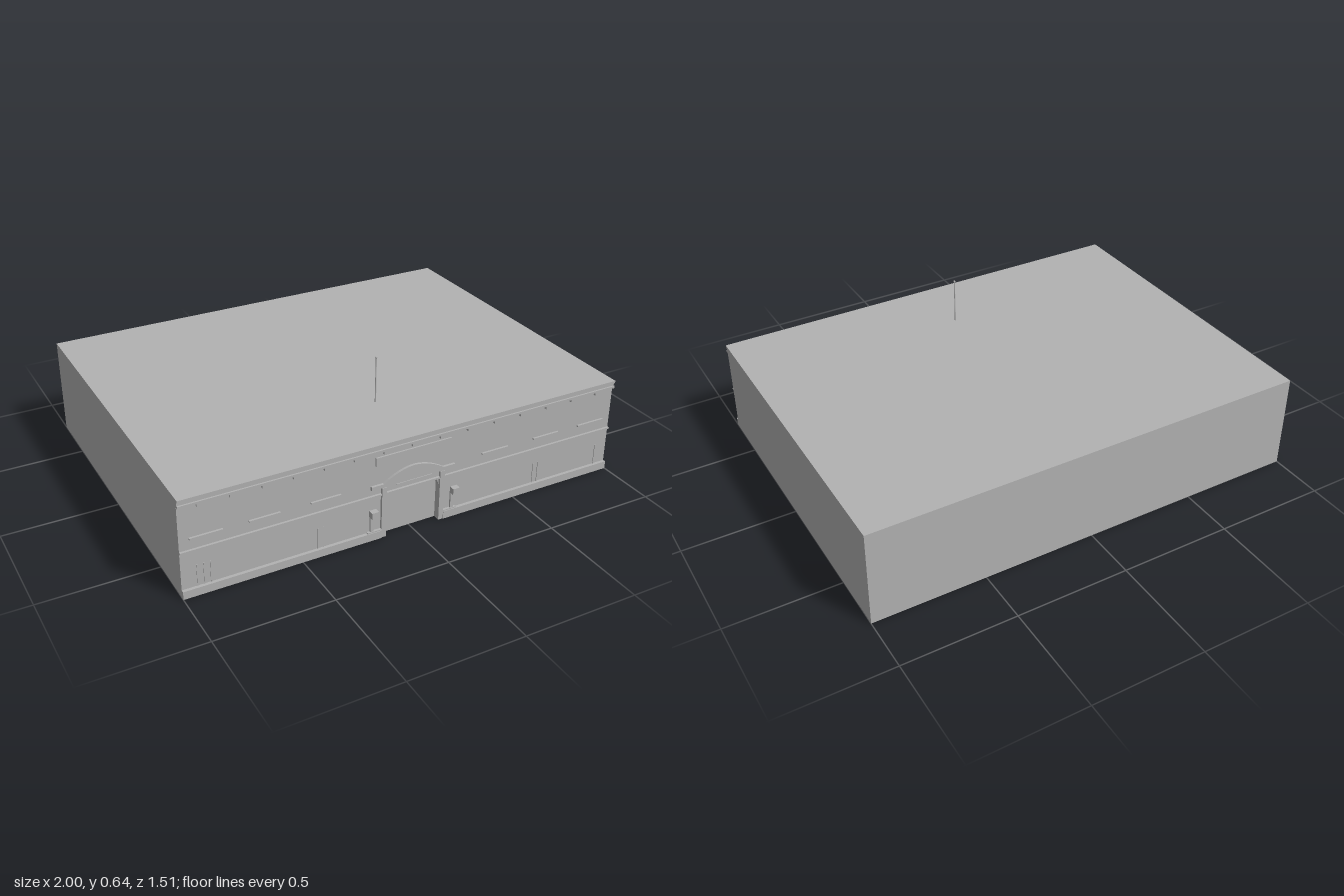
import * as THREE from 'three';

export function createModel() {
  const root = new THREE.Group();
  root.name = 'building';
  const grey = new THREE.MeshStandardMaterial({ color: 0xb2b2b2, side: THREE.DoubleSide });
  grey.name = 'plain grey';

  const H = 0.435, BACK = -0.757, WALL = 0.72, TRIM = 0.734, DOOR = 0.7;

  const add = (name, geometry, x = 0, y = 0, z = 0) => {
    const mesh = new THREE.Mesh(geometry, grey);
    mesh.name = name;
    mesh.position.set(x, y, z);
    root.add(mesh);
    return mesh;
  };
  // Box given by its limits on each axis
  const block = (name, x0, x1, y0, y1, z0, z1) =>
    add(name, new THREE.BoxGeometry(x1 - x0, y1 - y0, z1 - z0), (x0 + x1) / 2, (y0 + y1) / 2, (z0 + z1) / 2);

  // Hollow shell, open underneath
  const depth = WALL - BACK, mid = (WALL + BACK) / 2;
  add('roof', new THREE.PlaneGeometry(2, depth).rotateX(-Math.PI / 2), 0, H, mid);
  add('backWall', new THREE.PlaneGeometry(2, H).rotateY(Math.PI), 0, H / 2, BACK);
  for (const s of [-1, 1]) {
    add('sideWall', new THREE.PlaneGeometry(depth, H).rotateY(s * Math.PI / 2), s, H / 2, mid);
  }

  // Front wall with the doorway cut out
  const doorway = [[0.125, 0], [0.125, 0.165], [0.115, 0.198], [-0.115, 0.198], [-0.125, 0.165], [-0.125, 0]];
  const front = new THREE.Shape(
    [[1, 0], [1, H], [-1, H], [-1, 0], ...[...doorway].reverse()].map(p => new THREE.Vector2(...p)));
  add('frontWall', new THREE.ShapeGeometry(front), 0, 0, WALL);

  // Recessed door and its reveal
  const doorShape = new THREE.Shape(doorway.map(p => new THREE.Vector2(...p)));
  add('door', new THREE.ShapeGeometry(doorShape), 0, 0, DOOR);
  const reveal = new THREE.BufferGeometry();
  const positions = [], index = [];
  doorway.forEach(([x, y], i) => {
    positions.push(x, y, DOOR, x, y, WALL);
    if (i) {
      const a = 2 * i - 2;
      index.push(a, a + 1, a + 3, a, a + 3, a + 2);
    }
  });
  reveal.setAttribute('position', new THREE.Float32BufferAttribute(positions, 3));
  reveal.setIndex(index);
  const revealFlat = reveal.toNonIndexed();
  revealFlat.computeVertexNormals();
  add('doorReveal', revealFlat);

  // Cornice bands and the small blocks under them
  block('topCornice', -1, 1, 0.424, H, WALL, TRIM);
  block('corniceRecess', -1, 1, 0.41, 0.424, WALL, 0.727);
  block('lowerCornice', -1, 1, 0.4, 0.41, WALL, TRIM);
  for (let i = -7; i <= 7; i++) {
    block('corniceBlock', i * 0.1303 - 0.0125, i * 0.1303 + 0.0125, 0.387, 0.4, WALL, 0.732);
  }

  // Sign board above the entrance
  block('signBoard', -0.175, 0.175, 0.338, 0.375, WALL, 0.727);

  for (const s of [-1, 1]) {
    const side = (name, a, b, ...rest) => block(name, Math.min(s * a, s * b), Math.max(s * a, s * b), ...rest);
    side('beltCourse', 0.147, 1, 0.198, 0.206, WALL, 0.73);
    side('plinth', 0.147, 1, 0, 0.035, WALL, TRIM);
    side('plinthStep', 0.147, 0.21, 0.035, 0.04, WALL, 0.731);
    side('doorPilaster', 0.125, 0.147, 0, 0.232, WALL, 0.731);
    // Narrow ledges in the upper wall
    for (const [a, b] of [[0.33, 0.46], [0.59, 0.72], [0.825, 0.96]]) {
      side('upperLedge', a, b, 0.251, 0.258, WALL, 0.729);
    }
    // Wall lamps beside the door
    side('lampPost', 0.183, 0.197, 0.04, 0.12, WALL, 0.728);
    side('lampArm', 0.186, 0.194, 0.128, 0.136, WALL, 0.737);
    side('lampHead', 0.175, 0.206, 0.119, 0.147, 0.732, 0.757);
  }

  // Thin upright strips on the lower wall
  for (const x of [-0.935, -0.907, -0.88, -0.43, -0.405, 0.605, 0.63, 0.94]) {
    block('wallStrip', x - 0.002, x + 0.002, 0.035, 0.13, WALL, 0.723);
  }

  // Curved pediment over the door
  const pediment = new THREE.Shape();
  pediment.moveTo(-0.195, 0.234);
  pediment.lineTo(0.195, 0.234);
  pediment.lineTo(0.195, 0.25);
  pediment.lineTo(0.14, 0.25);
  pediment.quadraticCurveTo(0.07, 0.297, 0, 0.3);
  pediment.quadraticCurveTo(-0.07, 0.297, -0.14, 0.25);
  pediment.lineTo(-0.195, 0.25);
  add('pediment', new THREE.ExtrudeGeometry(pediment, { depth: 0.011, bevelEnabled: false, curveSegments: 6 }), 0, 0, WALL);
  block('pedimentLedge', -0.082, 0.082, 0.232, 0.236, WALL, TRIM);
  block('doorLintel', -0.125, 0.125, 0.198, 0.206, WALL, 0.73);

  // Flagpole on the roof
  add('flagpole', new THREE.CylinderGeometry(0.0025, 0.003, 0.2, 8), 0, H + 0.1, 0.415);
  add('flagpoleBall', new THREE.SphereGeometry(0.005, 8, 6), 0, 0.638, 0.415);

  return root;
}
